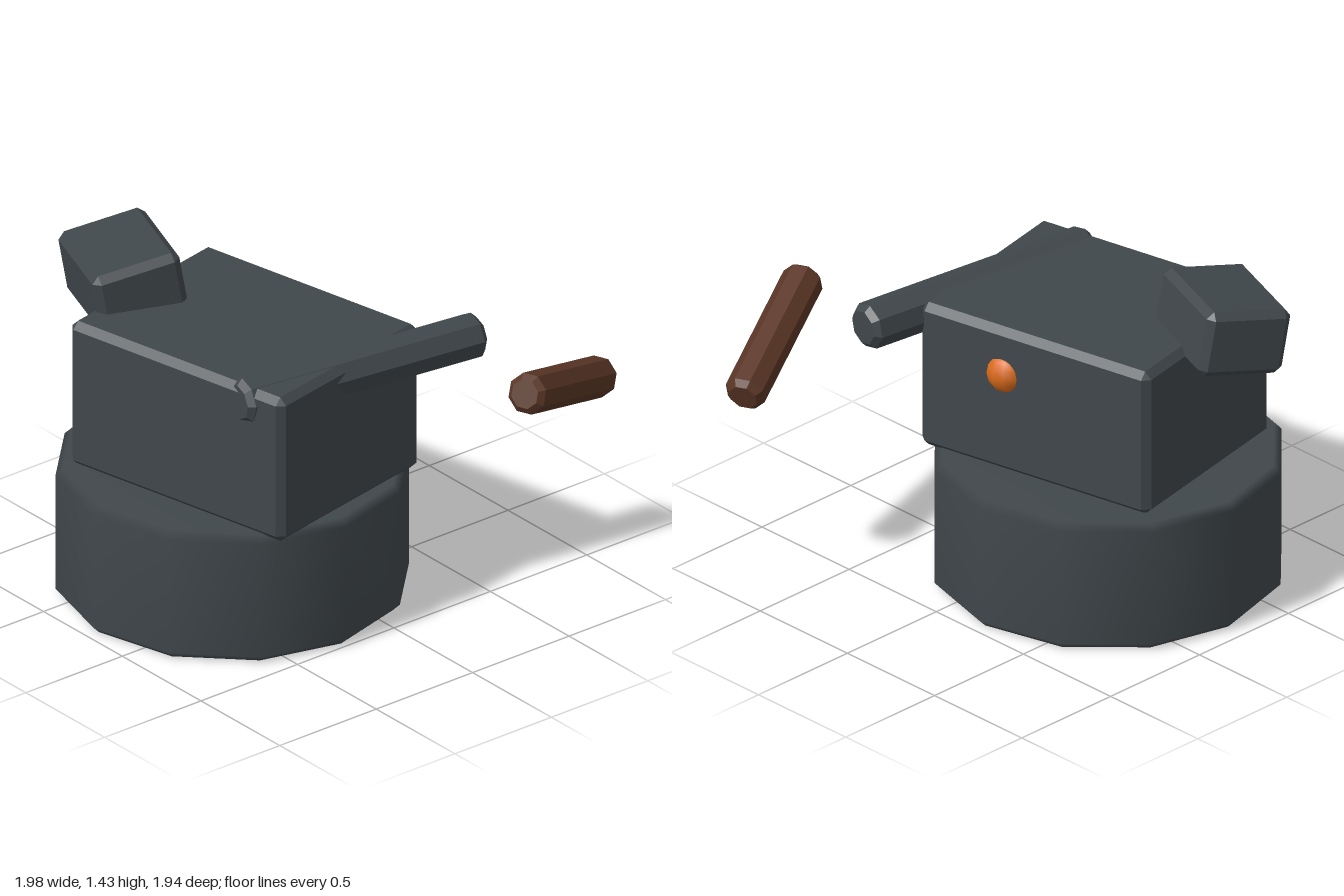
import * as THREE from 'three';
import { ConvexGeometry } from 'three/addons/geometries/ConvexGeometry.js';

const V = (x, y, z) => new THREE.Vector3(x, y, z);

// Box with chamfered edges, centred on the origin
function chamferBox(w, h, d, b) {
  const pts = [];
  for (const sx of [-1, 1]) for (const sy of [-1, 1]) for (const sz of [-1, 1]) {
    const x = w / 2, y = h / 2, z = d / 2;
    pts.push(V(sx * x, sy * (y - b), sz * (z - b)));
    pts.push(V(sx * (x - b), sy * y, sz * (z - b)));
    pts.push(V(sx * (x - b), sy * (y - b), sz * z));
  }
  return new ConvexGeometry(pts);
}

// Cylinder with chamfered rims, centred on the origin, axis along y
function chamferCylinder(r, h, b, sides, flat) {
  const y = h / 2;
  const profile = [[0, -y], [r - b, -y], [r, -y + b], [r, y - b], [r - b, y], [0, y]];
  let geo = new THREE.LatheGeometry(profile.map(([px, py]) => new THREE.Vector2(px, py)), sides);
  if (flat) {
    geo = geo.toNonIndexed();
    geo.computeVertexNormals();
  }
  return geo;
}

export function createModel() {
  const group = new THREE.Group();
  const material = (name, color) => {
    const m = new THREE.MeshStandardMaterial({ color });
    m.name = name;
    return m;
  };
  const iron = material('dark iron', 0x40474b);
  const wood = material('brown wood', 0x5a3626);
  const ember = material('ember orange', 0xd96a1c);

  const add = (name, geo, mat, x, y, z) => {
    const mesh = new THREE.Mesh(geo, mat);
    mesh.name = name;
    mesh.position.set(x, y, z);
    group.add(mesh);
    return mesh;
  };
  // Rod between two points
  const rod = (name, mat, a, b, r, bevel) => {
    const dir = b.clone().sub(a);
    const c = a.clone().add(b).multiplyScalar(0.5);
    const mesh = add(name, chamferCylinder(r, dir.length(), bevel, 8, true), mat, c.x, c.y, c.z);
    mesh.quaternion.setFromUnitVectors(V(0, 1, 0), dir.normalize());
  };

  // Round drum at the bottom
  add('drumBase', chamferCylinder(0.72, 0.57, 0.03, 12, false), iron, -0.22, 0.285, 0.25);

  // Main block, turned slightly
  add('mainBlock', chamferBox(1.11, 0.65, 0.885, 0.03), iron, -0.14, 0.885, 0.253).rotation.y = 0.2;

  // Small tilted block on the corner
  add('cornerBlock', chamferBox(0.475, 0.285, 0.375, 0.03), iron, -0.71, 1.26, 0.415)
    .rotation.set(0.17, -0.35, 0, 'YXZ');

  // Bar sunk into the top edge and the loose handle
  rod('sideBar', iron, V(0.42, 1.135, -0.5), V(0.272, 1.135, 0.62), 0.098, 0.025);
  rod('looseHandle', wood, V(0.655, 0.893, -0.945), V(0.92, 1.118, -0.335), 0.086, 0.025);

  // Glowing knob on the back
  add('emberKnob', new THREE.SphereGeometry(0.09, 12, 8), ember, -0.07, 1.0, -0.163);

  return group;
}
